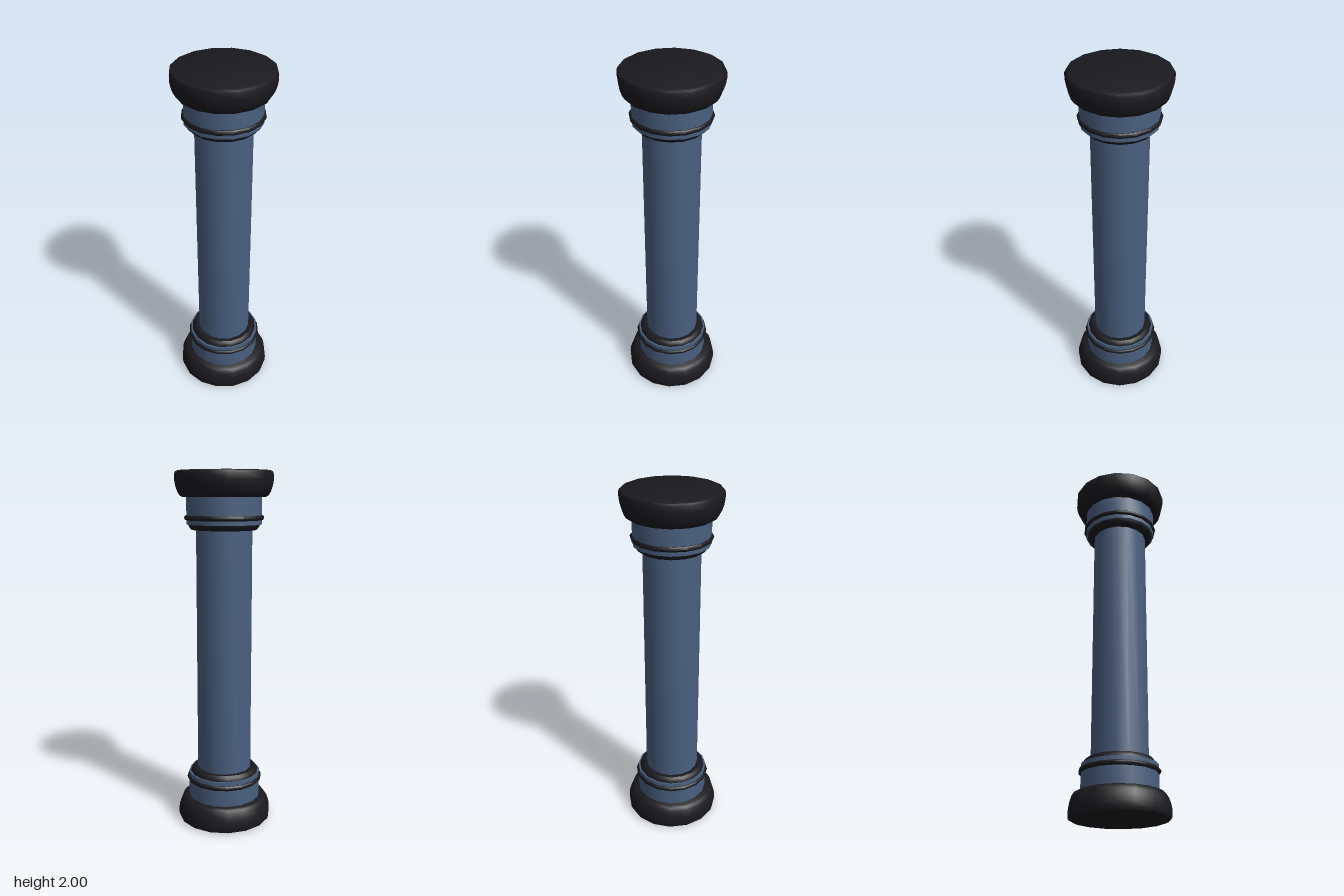
import * as THREE from 'three';
import { toCreasedNormals } from 'three/addons/utils/BufferGeometryUtils.js';

const SIDES = 16;
const HEIGHT = 2;

export function createModel() {
  const model = new THREE.Group();
  model.name = 'column';
  const stone = new THREE.MeshStandardMaterial({ color: 0x4a6080 });
  const dark = new THREE.MeshStandardMaterial({ color: 0x1a191e });

  // Turned part from [radius, height] pairs listed from bottom to top
  function turned(name, profile, material, parent) {
    const points = profile.map(([r, y]) => new THREE.Vector2(r, y));
    const geometry = toCreasedNormals(new THREE.LatheGeometry(points, SIDES), 0.6);
    const mesh = new THREE.Mesh(geometry, material);
    mesh.name = name;
    parent.add(mesh);
  }

  // Profiles of one end, measured up from the ground
  const endParts = [
    ['plinth', dark, [[0, 0], [0.255, 0], [0.265, 0.005], [0.27, 0.018], [0.27, 0.05],
      [0.265, 0.08], [0.255, 0.11], [0.243, 0.13], [0.23, 0.138], [0, 0.138]]],
    ['drum', stone, [[0, 0.13], [0.207, 0.13], [0.207, 0.285], [0, 0.285]]],
    ['ring', dark, [[0.2, 0.236], [0.211, 0.236], [0.217, 0.242], [0.219, 0.249],
      [0.217, 0.256], [0.211, 0.262], [0.2, 0.262]]],
    ['collar', dark, [[0, 0.28], [0.198, 0.28], [0.196, 0.292], [0.188, 0.305],
      [0.178, 0.314], [0, 0.314]]],
  ];

  // Base and its mirrored capital
  for (const end of ['base', 'capital']) {
    const group = new THREE.Group();
    group.name = end;
    for (const [name, material, profile] of endParts) {
      const placed = end === 'base' ? profile
        : profile.map(([r, y]) => [r, HEIGHT - y]).reverse();
      turned(name, placed, material, group);
    }
    model.add(group);
  }

  // Plain shaft between the collars
  turned('shaft', [[0.155, 0.3], [0.155, HEIGHT - 0.3]], stone, model);
  return model;
}
